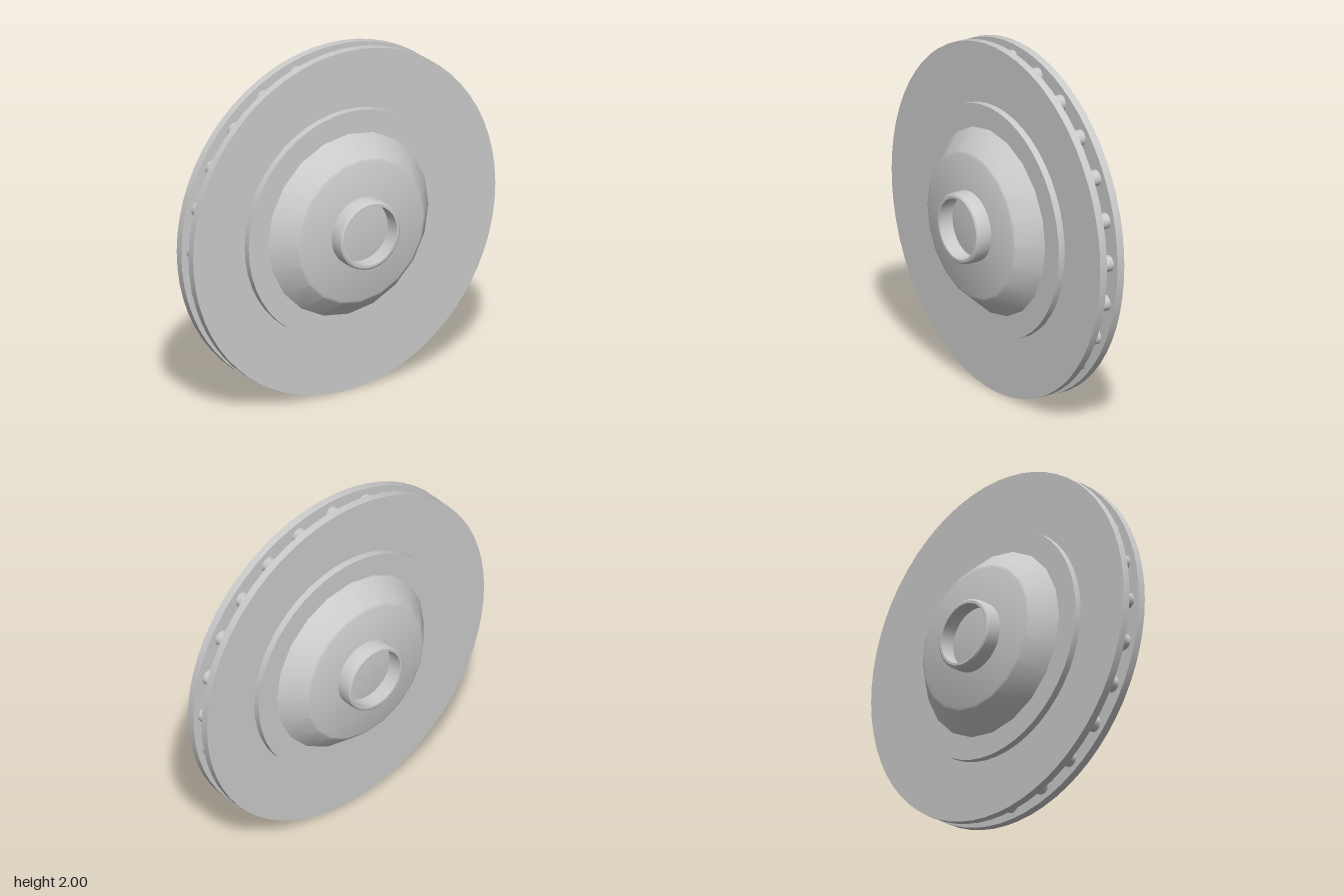
import * as THREE from 'three';
import { toCreasedNormals } from 'three/addons/utils/BufferGeometryUtils.js';

const material = new THREE.MeshStandardMaterial({ color: 0xcccccc });

// Turned part around the z axis; profile points are [radius, z], from the base outwards
function turned(name, profile, sides) {
  const points = profile.map(([r, z]) => new THREE.Vector2(r, z));
  const geometry = new THREE.LatheGeometry(points, sides).rotateX(Math.PI / 2);
  const mesh = new THREE.Mesh(toCreasedNormals(geometry, 0.45), material);
  mesh.name = name;
  return mesh;
}

// Everything on one side of the ventilation gap
function createSide(name) {
  const side = new THREE.Group();
  side.name = name;
  side.add(
    turned('frictionDisc', [[0, 0.035], [1, 0.035], [1, 0.08], [0, 0.08]], 64),
    turned('steppedRing', [[0.66, 0.08], [0.66, 0.12], [0, 0.12]], 48),
    turned('conicalBell', [[0.53, 0.12], [0.42, 0.244], [0.406, 0.25], [0, 0.25]], 20),
    turned('hubCollar', [
      [0.2, 0.25], [0.2, 0.32], [0.196, 0.333], [0.186, 0.34],
      [0.172, 0.34], [0.172, 0.25],
    ], 32),
  );
  return side;
}

export function createModel() {
  const model = new THREE.Group();
  model.name = 'ventedBrakeDisc';

  // Matching front and back halves
  const front = createSide('frontSide');
  const back = createSide('backSide');
  back.rotation.y = Math.PI;
  model.add(front, back);

  // Ring of spacer pins in the gap
  const pins = new THREE.Group();
  pins.name = 'spacerPins';
  const pinGeometry = new THREE.CylinderGeometry(0.045, 0.045, 0.08, 16).rotateX(Math.PI / 2);
  const pinCount = 24;
  for (let i = 0; i < pinCount; i++) {
    const angle = (i / pinCount) * Math.PI * 2;
    const pin = new THREE.Mesh(pinGeometry, material);
    pin.name = 'spacerPin';
    pin.position.set(0.92 * Math.cos(angle), 0.92 * Math.sin(angle), 0);
    pin.rotation.z = angle;
    pins.add(pin);
  }
  model.add(pins);

  // Stand the disc on the ground
  model.position.y = 1;
  return model;
}
